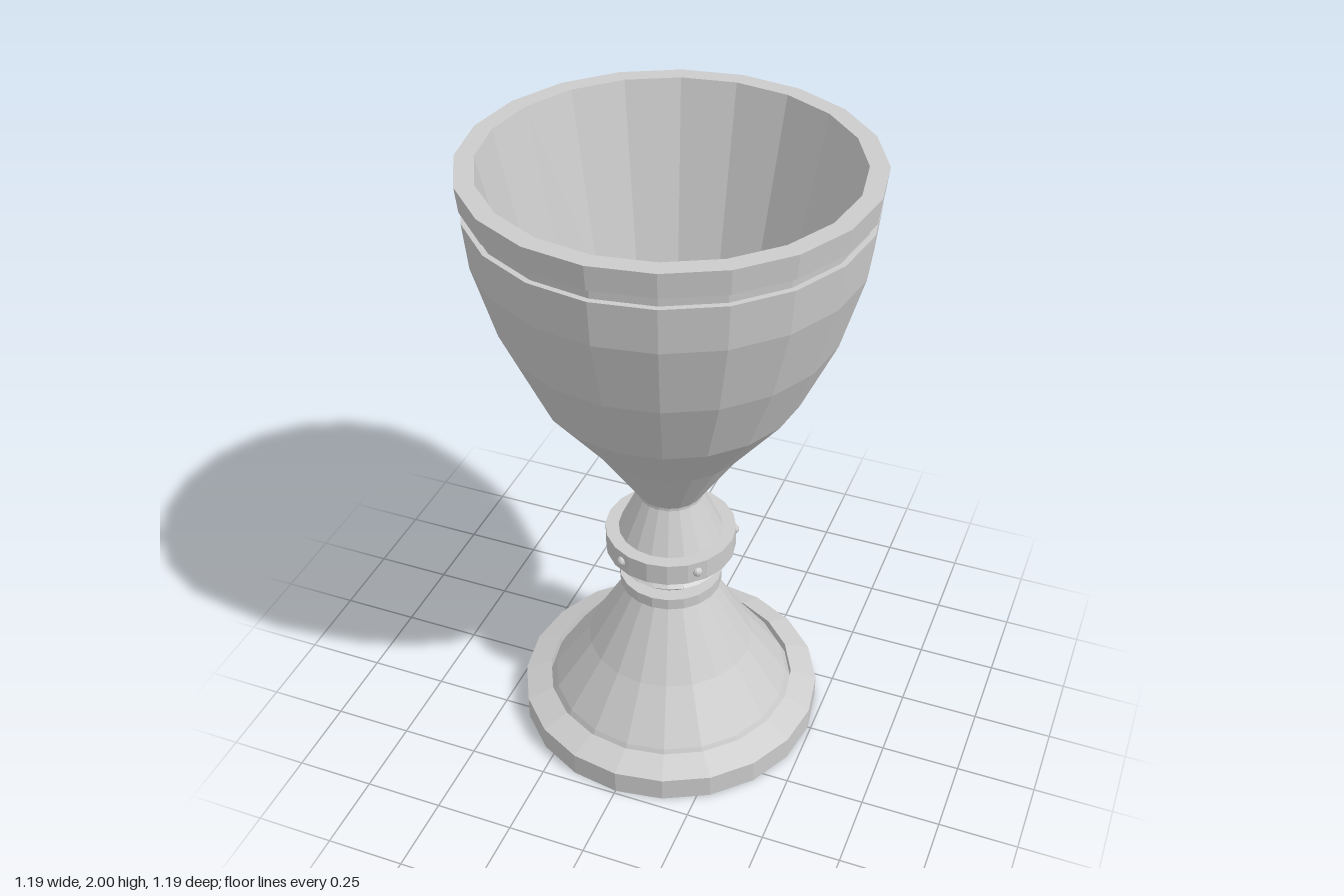
import * as THREE from 'three';

const SIDES = 20;
const material = new THREE.MeshStandardMaterial({ color: 0xcccccc, flatShading: true });

// Turns a profile of [radius, height] pairs around the y axis
function turned(name, profile) {
  const points = profile.map(([r, y]) => new THREE.Vector2(r, y));
  const mesh = new THREE.Mesh(new THREE.LatheGeometry(points, SIDES), material);
  mesh.name = name;
  return mesh;
}

export function createModel() {
  const goblet = new THREE.Group();
  goblet.name = 'goblet';

  // Base plate with a chamfered edge and a shallow groove around the foot
  goblet.add(turned('basePlate', [
    [0, 0], [0.49, 0], [0.49, 0.08], [0.405, 0.112], [0.405, 0.08], [0, 0.08],
  ]));

  // Flared foot
  goblet.add(turned('foot', [[0.405, 0.08], [0.387, 0.115], [0.27, 0.28], [0.135, 0.516]]));

  // Thin collar and the pointed bead above it
  goblet.add(turned('collar', [[0.12, 0.516], [0.164, 0.516], [0.164, 0.555], [0.11, 0.555]]));
  goblet.add(turned('neckBead', [[0.115, 0.553], [0.165, 0.6], [0.122, 0.64]]));

  // Stem ring with studs
  goblet.add(turned('stemRing', [
    [0.11, 0.635], [0.13, 0.636], [0.207, 0.657], [0.207, 0.73], [0.15, 0.73],
  ]));
  const studs = new THREE.Group();
  studs.name = 'studs';
  const studGeometry = new THREE.SphereGeometry(0.016, 10, 8);
  for (let i = 0; i < 5; i++) {
    const angle = Math.PI / 4 + (i * Math.PI * 2) / 5;
    const stud = new THREE.Mesh(studGeometry, material);
    stud.name = 'stud';
    stud.position.set(Math.sin(angle) * 0.203, 0.694, Math.cos(angle) * 0.203);
    studs.add(stud);
  }
  goblet.add(studs);

  // Tapered upper stem
  goblet.add(turned('upperStem', [[0.165, 0.73], [0.103, 0.865], [0.103, 0.878]]));

  // Bowl: outside, groove under the rim, lip, then the inside down to its floor
  goblet.add(turned('bowl', [
    [0.103, 0.875], [0.24, 1.085], [0.4, 1.29], [0.503, 1.52], [0.568, 1.75],
    [0.582, 1.89], [0.565, 1.89], [0.567, 1.925], [0.585, 1.925], [0.593, 2],
    [0.537, 2], [0.41, 1.42], [0.31, 1.23], [0.205, 1.085], [0, 1.085],
  ]));

  return goblet;
}
